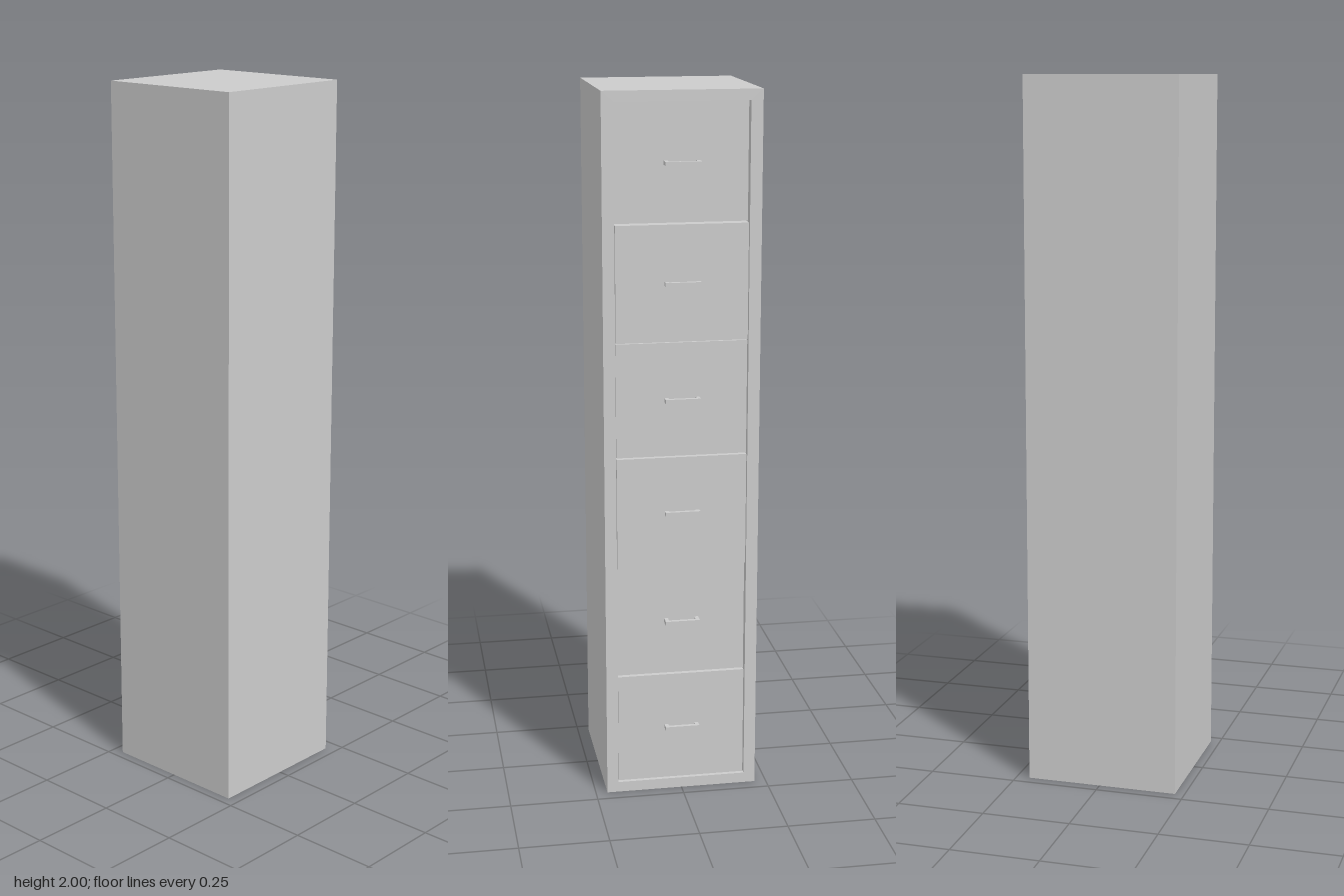
import * as THREE from 'three';

const W = 0.434, H = 2, FRAME = 0.033, RIM = 0.03;
const BACK = -0.212, FRONT = 0.223, PANEL = 0.02;
const HANDLE_TIP = -0.226;
// how far each drawer sits inside the frame, top to bottom
const RECESS = [0.018, 0.003, 0.008, 0.003, 0.016, 0.009];

const material = new THREE.MeshStandardMaterial({ color: 0xcccccc });

function add(parent, name, geometry, x = 0, y = 0, z = 0) {
  const mesh = new THREE.Mesh(geometry, material);
  mesh.name = name;
  mesh.position.set(x, y, z);
  parent.add(mesh);
  return mesh;
}

function rectangle(PathType, x0, y0, x1, y1) {
  return new PathType().moveTo(x0, y0).lineTo(x1, y0).lineTo(x1, y1).lineTo(x0, y1).closePath();
}

// U-shaped pull, drawn in plan and extruded upwards
function handleGeometry(base) {
  const reach = base - HANDLE_TIP, half = 0.049, post = 0.011, height = 0.011;
  const shape = new THREE.Shape();
  [[-half, 0], [-half + post, 0], [-half + post, reach - 0.011], [half - post, reach - 0.011],
    [half - post, 0], [half, 0], [half, reach], [-half, reach]]
    .forEach(([x, y], i) => (i ? shape.lineTo(x, y) : shape.moveTo(x, y)));
  shape.closePath();
  const geometry = new THREE.ExtrudeGeometry(shape, { depth: height, bevelEnabled: false });
  geometry.translate(0, 0, -height / 2);
  geometry.rotateX(-Math.PI / 2); // reach now points to -z
  return geometry;
}

export function createModel() {
  const model = new THREE.Group();
  model.name = 'drawerCabinet';

  // Cabinet sleeve, open on the drawer side, closed by a plain panel
  const outline = rectangle(THREE.Shape, -W / 2, 0, W / 2, H);
  outline.holes.push(rectangle(THREE.Path, -W / 2 + FRAME, RIM, W / 2 - FRAME, H - RIM));
  const depth = FRONT - BACK - PANEL;
  add(model, 'cabinetBody', new THREE.ExtrudeGeometry(outline, { depth, bevelEnabled: false }), 0, 0, BACK);
  add(model, 'closedPanel', new THREE.BoxGeometry(W, H, PANEL), 0, H / 2, FRONT - PANEL / 2);

  // Six stacked drawers with pulls, each pushed in by a different amount
  const pitch = (H - 2 * RIM) / RECESS.length;
  RECESS.forEach((recess, i) => {
    const drawer = new THREE.Group();
    drawer.name = `drawer${i + 1}`;
    drawer.position.y = H - RIM - (i + 0.5) * pitch;
    const face = BACK + recess, length = FRONT - PANEL - 0.005 - face;
    add(drawer, 'drawerBox', new THREE.BoxGeometry(W - 2 * FRAME - 0.004, pitch - 0.003, length), 0, 0, face + length / 2);
    add(drawer, 'handle', handleGeometry(face), -0.001, 0, face);
    model.add(drawer);
  });

  return model;
}
